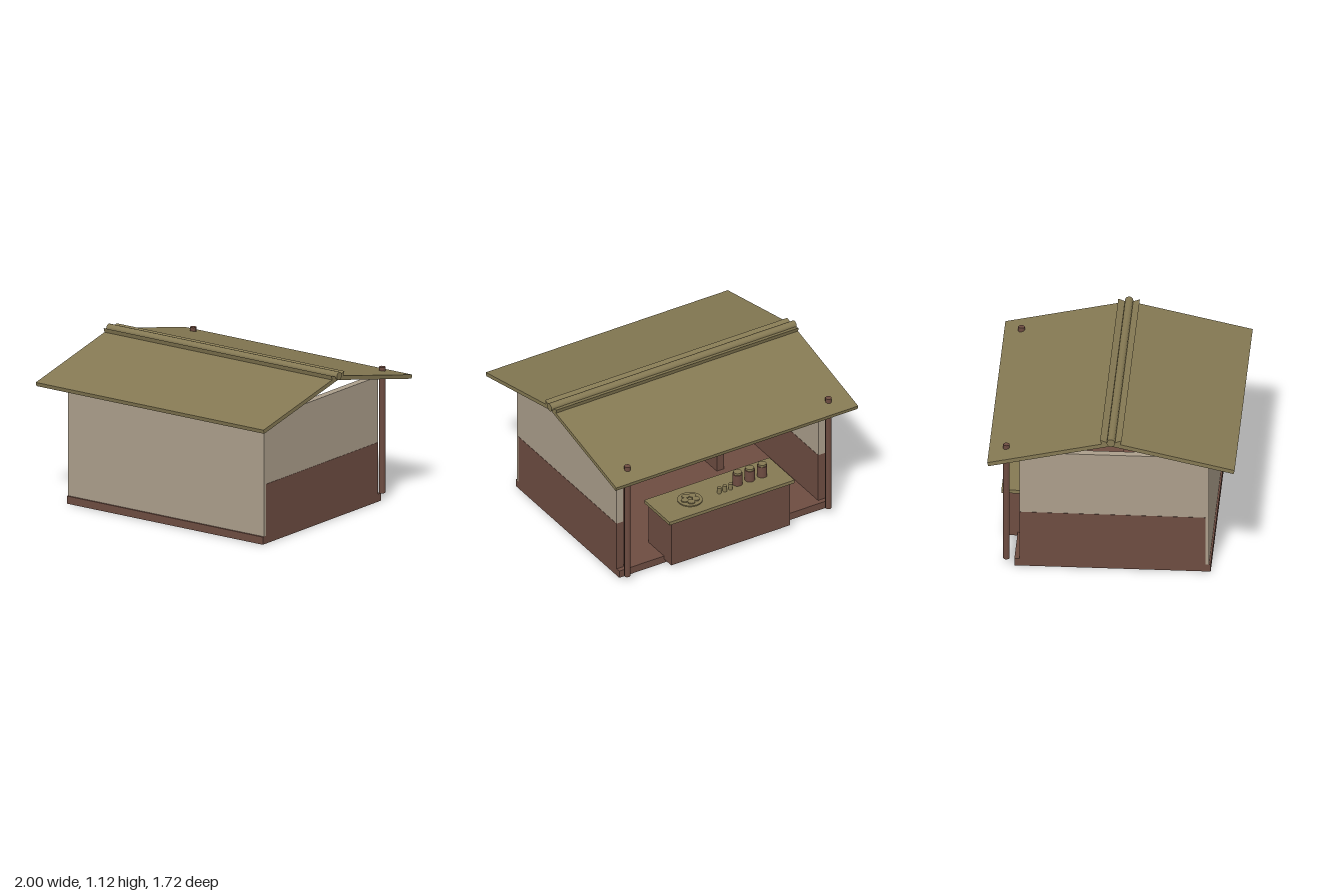
import * as THREE from 'three';

const mat = (name, color) => {
  const m = new THREE.MeshStandardMaterial({ color });
  m.name = name;
  return m;
};

export function createModel() {
  const group = new THREE.Group();
  const wood = mat('brown wood', 0x6d4c41);
  const plaster = mat('beige plaster', 0xab9e8b);
  const thatch = mat('khaki straw', 0x857953);

  const add = (name, geometry, material, x = 0, y = 0, z = 0) => {
    const mesh = new THREE.Mesh(geometry, material);
    mesh.name = name;
    mesh.position.set(x, y, z);
    group.add(mesh);
    return mesh;
  };
  // Box given by its limits on each axis
  const box = (name, m, x0, x1, y0, y1, z0, z1) =>
    add(name, new THREE.BoxGeometry(x1 - x0, y1 - y0, z1 - z0), m,
      (x0 + x1) / 2, (y0 + y1) / 2, (z0 + z1) / 2);
  // Upright cylinder standing on y
  const can = (name, m, r, h, x, y, z, sides = 16) =>
    add(name, new THREE.CylinderGeometry(r, r, h, sides), m, x, y + h / 2, z);
  // Profile of [z, y] points swept along x
  const sweep = (name, m, points, half) => {
    const shape = new THREE.Shape(points.map(([z, y]) => new THREE.Vector2(-z, y)));
    const g = new THREE.ExtrudeGeometry(shape, { depth: half * 2, bevelEnabled: false });
    g.translate(0, 0, -half);
    g.rotateY(Math.PI / 2);
    return add(name, g, m);
  };

  // Floor and walls
  box('floor', wood, -0.85, 0.85, 0, 0.055, -0.68, 0.685);
  box('frontWall', plaster, -0.85, 0.85, 0.055, 0.905, 0.625, 0.672);
  box('frontWallLining', wood, -0.795, 0.795, 0.055, 0.43, 0.617, 0.625);
  for (const s of [-1, 1]) {
    const a = Math.min(s * 0.795, s * 0.85), b = Math.max(s * 0.795, s * 0.85);
    box('sideWall', plaster, a, b, 0.43, 0.905, -0.645, 0.625);
    box('sideWallBase', wood, a - 0.002, b + 0.002, 0.005, 0.43, -0.645, 0.65);
    can('post', wood, 0.023, 0.91, s * 0.82, 0.04, -0.737, 8);
  }

  // Gabled roof, with upturned strips and a pole along the ridge
  sweep('roof', thatch, [[-0.86, 0.893], [-0.853, 0.865], [0, 1.055],
    [0.853, 0.865], [0.86, 0.893], [0, 1.085]], 0.987);
  for (const s of [-1, 1]) {
    const pts = [[0, 1.06], [0.065, 1.068], [0.075, 1.102], [0.03, 1.085], [0, 1.078]];
    sweep('ridgeStrip', thatch, pts.map(([z, y]) => [s * z, y]), 0.987);
  }
  const pole = add('ridgePole', new THREE.CylinderGeometry(0.029, 0.029, 2, 12), thatch, 0, 1.086, 0);
  pole.rotation.z = Math.PI / 2;

  // Serving counter
  box('counter', wood, -0.485, 0.485, 0.03, 0.38, -0.775, -0.475);
  box('counterTop', thatch, -0.51, 0.51, 0.38, 0.405, -0.792, -0.46);

  // Plate with flat cakes
  can('plate', thatch, 0.088, 0.008, 0.24, 0.405, -0.625, 24);
  for (let i = 0; i < 5; i++) {
    const t = i * Math.PI * 0.4;
    can('cake', thatch, 0.026, 0.008, 0.24 + 0.042 * Math.cos(t), 0.413, -0.625 + 0.042 * Math.sin(t), 12);
  }

  // Cups and lidded jars
  for (let i = 0; i < 3; i++) {
    can('cup', thatch, 0.015, 0.045, 0.02 - i * 0.046, 0.405, -0.655, 12);
    const x = -0.15 - i * 0.1;
    can('jar', wood, 0.036, 0.085, x, 0.405, -0.622);
    can('jarLid', thatch, 0.03, 0.015, x, 0.49, -0.622);
  }

  // Low work table inside
  box('tableTop', wood, -0.53, 0.53, 0.22, 0.25, 0, 0.3);
  for (const x of [-0.42, 0.42]) box('tableLeg', wood, x - 0.03, x + 0.03, 0.055, 0.22, 0.04, 0.26);

  return group;
}
